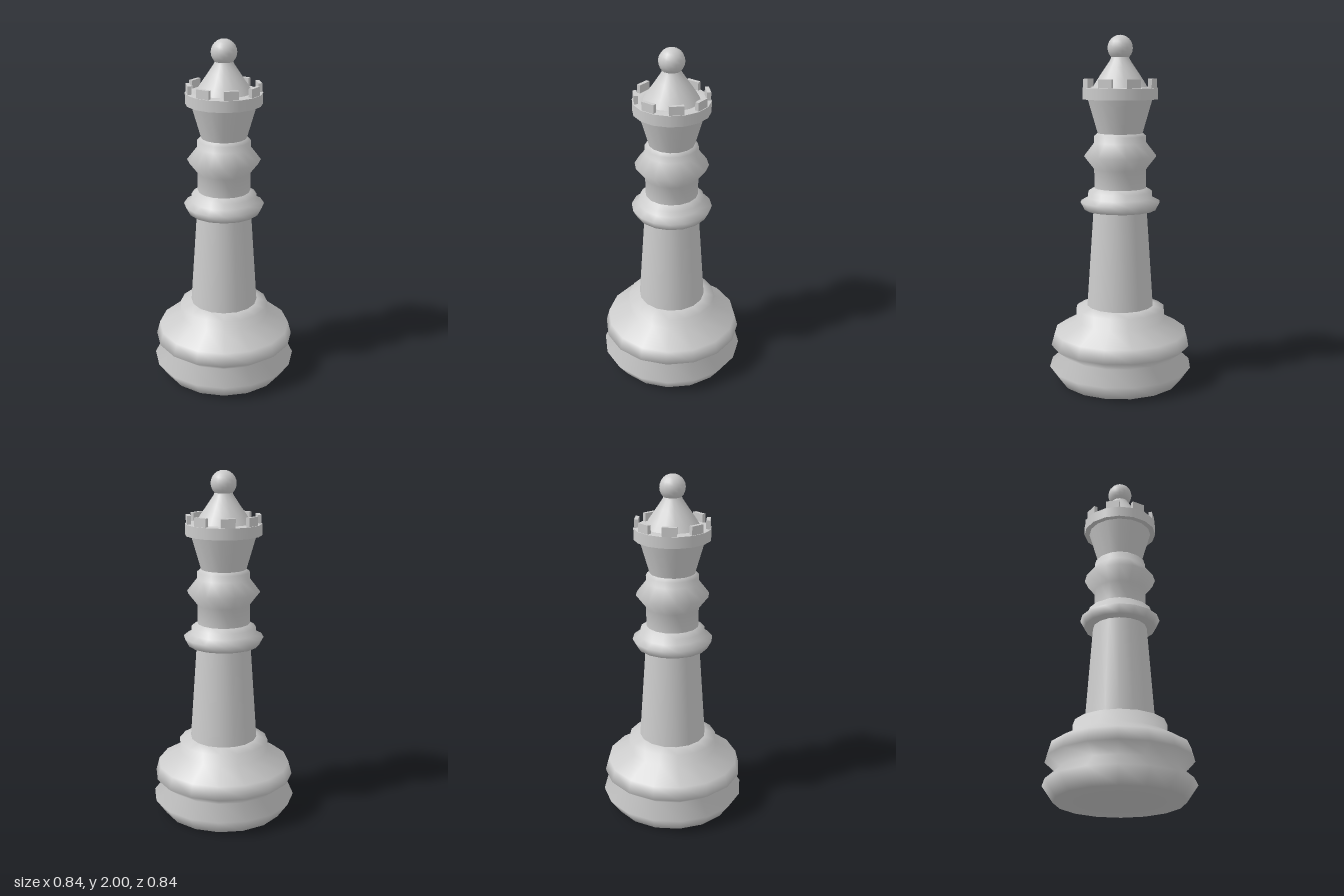
import * as THREE from 'three';

const SIDES = 16;
const material = new THREE.MeshStandardMaterial({ color: 0xcccccc, side: THREE.DoubleSide });

export function createModel() {
  const group = new THREE.Group();

  const add = (name, geometry, parent = group) => {
    const mesh = new THREE.Mesh(geometry, material);
    mesh.name = name;
    parent.add(mesh);
    return mesh;
  };

  // Turned part from [radius, height] pairs, bottom to top
  const turn = (name, profile) =>
    add(name, new THREE.LatheGeometry(profile.map(([r, y]) => new THREE.Vector2(r, y)), SIDES));

  // Double-rimmed foot with a stepped shoulder
  turn('base', [
    [0, 0], [0.355, 0], [0.418, 0.09], [0.335, 0.165], [0.407, 0.22],
    [0.387, 0.295], [0.26, 0.365], [0.26, 0.432], [0.19, 0.452],
  ]);
  turn('column', [[0.195, 0.44], [0.155, 1.02]]);

  // Collar ring, waist bulge and flaring head
  turn('ring', [
    [0.14, 1.012], [0.205, 1.015], [0.23, 1.062], [0.187, 1.085],
    [0.185, 1.12], [0.145, 1.145],
  ]);
  turn('bulge', [
    [0.15, 1.12], [0.15, 1.25], [0.208, 1.325], [0.15, 1.4], [0.15, 1.437], [0.125, 1.457],
  ]);
  turn('head', [[0.128, 1.45], [0.186, 1.65]]);

  // Crown band: underside, wall and rim
  turn('crownUnderside', [[0.17, 1.645], [0.215, 1.645]]);
  turn('crownWall', [[0.215, 1.645], [0.215, 1.708]]);
  turn('crownRim', [[0.215, 1.708], [0.18, 1.713], [0.155, 1.71]]);

  // Crown teeth stand on every other facet of the band
  const teeth = new THREE.Group();
  teeth.name = 'crownTeeth';
  group.add(teeth);
  const toothShape = new THREE.BoxGeometry(0.08, 0.055, 0.022);
  for (let i = 0; i < SIDES / 2; i++) {
    const angle = (i * 2 + 0.5) * (2 * Math.PI / SIDES);
    const tooth = add('crownTooth', toothShape, teeth);
    tooth.position.set(Math.sin(angle) * 0.196, 1.73, Math.cos(angle) * 0.196);
    tooth.rotation.y = angle;
  }

  // Domed cap and ball finial
  turn('cap', [[0.16, 1.705], [0.133, 1.75], [0.085, 1.82], [0.055, 1.865], [0.046, 1.89]]);
  add('finial', new THREE.SphereGeometry(0.072, SIDES, 12)).position.y = 1.928;

  return group;
}
